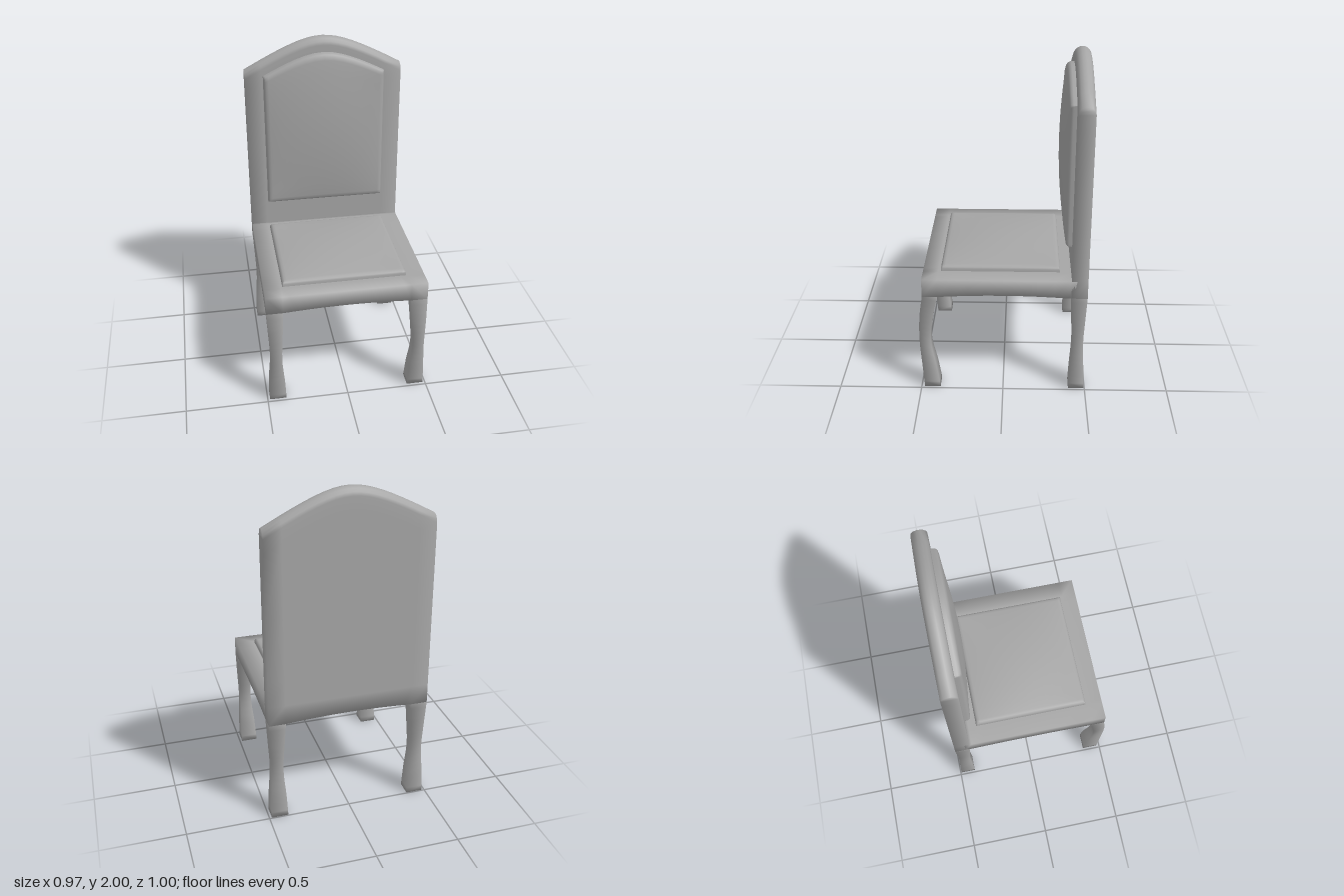
import * as THREE from 'three';

const V = (x, y, z) => new THREE.Vector3(x, y, z);

// Smooth closed solid through rings of equal length; caps join point i to point n-1-i.
function loft(rings) {
  const n = rings[0].length, pts = rings.flat(), index = [];
  const quad = (a, b, c, d) => index.push(a, b, c, a, c, d);
  for (let r = 0; r < rings.length - 1; r++) {
    for (let i = 0; i < n; i++) {
      const a = r * n + i, b = r * n + (i + 1) % n;
      quad(a, b, b + n, a + n);
    }
  }
  const last = (rings.length - 1) * n;
  for (let i = 0; i < n / 2 - 1; i++) {
    const j = n - 1 - i;
    quad(i, j, j - 1, i + 1);
    quad(last + i, last + i + 1, last + j - 1, last + j);
  }
  // Turn the faces outwards if the solid is inside out
  let volume = 0;
  for (let i = 0; i < index.length; i += 3) {
    volume += pts[index[i]].dot(pts[index[i + 1]].clone().cross(pts[index[i + 2]]));
  }
  if (volume < 0) index.reverse();
  const geo = new THREE.BufferGeometry().setFromPoints(pts);
  geo.setIndex(index);
  geo.computeVertexNormals();
  return geo;
}

// How far the crest falls away from its peak at x
const crestDrop = x => Math.sqrt(0.348 * x * x + 0.0144) - 0.12;
// Shallow arch under the seat rails: 0 at the legs, 1 in the middle
const arch = t => Math.max(0, 1 - (t / 0.385) ** 2);

const COLUMNS = [-0.485, -0.385, -0.34, -0.29, -0.24, -0.19, -0.14, -0.09, -0.045, 0,
  0.045, 0.09, 0.14, 0.19, 0.24, 0.29, 0.34, 0.385, 0.485];

function backPanel() {
  return loft(COLUMNS.map(x => {
    const top = 2 - crestDrop(x), r = 0.0475, y0 = 0.64 + 0.015 * arch(x);
    const rows = [y0, 0.76, 0.92, 1.3, top - 0.13];
    const ring = rows.map(y => V(x, y, -0.4));
    for (let i = 0; i <= 7; i++) {
      const a = Math.PI * i / 7;
      ring.push(V(x, top - r + r * Math.sin(a), -0.4475 + r * Math.cos(a)));
    }
    return ring.concat(rows.reverse().map(y => V(x, y, -0.495)));
  }));
}

function seatFrame() {
  const stations = [-0.43, -0.385, -0.3, -0.2, -0.1, 0, 0.1, 0.2, 0.3, 0.385, 0.475];
  return loft(stations.map(z => [
    ...COLUMNS.map(x => V(x, 0.753, z)),
    ...[...COLUMNS].reverse().map(x => {
      const inside = Math.max(arch(x), arch(z));
      return V(x, 0.64 + 0.014 * inside, z);
    }),
  ]));
}

// Rows of a leg: height, centre x, half width, centre z, half depth
const FRONT_LEG = [[0, 0.434, 0.051, 0.432, 0.048], [0.14, 0.435, 0.045, 0.447, 0.043],
  [0.32, 0.437, 0.034, 0.468, 0.034], [0.5, 0.436, 0.042, 0.455, 0.04], [0.64, 0.435, 0.05, 0.43, 0.045]];
const BACK_LEG = [[0, 0.434, 0.051, -0.4475, 0.0475], [0.14, 0.435, 0.045, -0.4475, 0.042],
  [0.32, 0.437, 0.034, -0.4475, 0.034], [0.5, 0.436, 0.042, -0.4475, 0.041], [0.64, 0.435, 0.05, -0.4475, 0.0475]];

function leg(rows, side) {
  const centre = new THREE.CatmullRomCurve3(rows.map(r => V(r[1], r[0], r[3])));
  const size = new THREE.CatmullRomCurve3(rows.map(r => V(r[2], 0, r[4])));
  const rings = [];
  const addRing = (c, s) => rings.push([[-1, -1], [1, -1], [1, 1], [-1, 1]]
    .map(([a, b]) => V(side * (c.x + a * s.x), c.y, c.z + b * s.z)));
  for (let i = 0; i <= 16; i++) addRing(centre.getPoint(i / 16), size.getPoint(i / 16));
  // Tenon hidden in the frame
  const [, x, w, z, d] = rows[4];
  addRing(V(x, 0.7, z), V(w - 0.01, 0, d - 0.01));
  return loft(rings);
}

// Domed pad with a rounded rim; place(u, v, height) maps it into the model
const RIM = [[1, 0], [0.997, 0.5], [0.985, 0.78], [0.96, 0.94], [0.92, 1]];
function cushion(rim, dome, place) {
  const N = 20, geo = new THREE.PlaneGeometry(2, 2, N, N), p = geo.attributes.position;
  const coord = i => {
    const k = Math.min(i, N - i);
    const t = k < 5 ? RIM[k][0] : 0.92 * (10 - k) / 6;
    return [i < N / 2 ? -t : t, k < 5 ? RIM[k][1] : 1];
  };
  for (let j = 0; j <= N; j++) {
    for (let i = 0; i <= N; i++) {
      const [u, eu] = coord(i), [v, ev] = coord(N - j);
      const h = rim * Math.min(eu, ev) + dome * (1 - u * u) * (1 - v * v);
      p.setXYZ(j * (N + 1) + i, ...place(u, v, h));
    }
  }
  geo.computeVertexNormals();
  return geo;
}

export function createModel() {
  const model = new THREE.Group();
  model.name = 'chair';
  const grey = new THREE.MeshStandardMaterial({ color: 0xa6a6a6 });
  grey.name = 'plain grey';
  const add = (name, geo) => {
    const mesh = new THREE.Mesh(geo, grey);
    mesh.name = name;
    model.add(mesh);
  };

  // Frame
  add('backPanel', backPanel());
  add('seatFrame', seatFrame());
  for (const [side, label] of [[1, 'Left'], [-1, 'Right']]) {
    add('front' + label + 'Leg', leg(FRONT_LEG, side));
    add('back' + label + 'Leg', leg(BACK_LEG, side));
  }

  // Upholstery
  add('seatCushion', cushion(0.035, 0.03, (u, v, h) => [0.375 * u, 0.75 + h, 0.0175 - 0.3525 * v]));
  add('backCushion', cushion(0.042, 0.036, (u, v, h) => {
    const x = 0.375 * u, top = 1.91 - crestDrop(x);
    return [x, THREE.MathUtils.lerp(0.92, top, (v + 1) / 2), -0.402 + h];
  }));
  return model;
}
